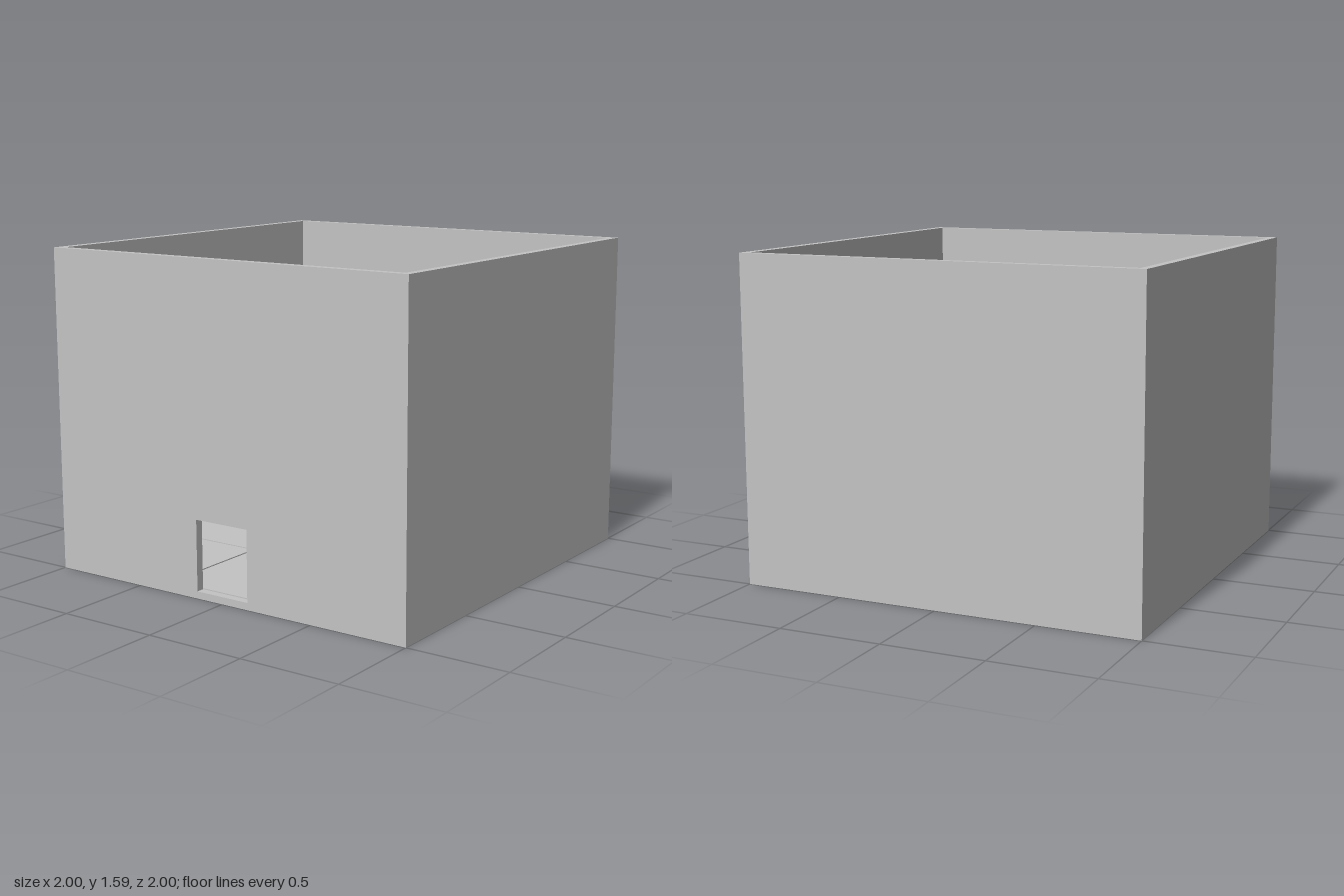
import * as THREE from 'three';

export function createModel() {
  const model = new THREE.Group();
  const grey = new THREE.MeshStandardMaterial({ color: 0xc4c4c4 });
  grey.name = 'plain grey';

  const H = 1.59, T = 0.04, IN = 1 - T;      // height, wall thickness, inner half width
  const BASE = 0.03, FLOOR = 0.04;           // groove bottom and tile top

  const add = (name, geometry, x, y, z) => {
    const mesh = new THREE.Mesh(geometry, grey);
    mesh.name = name;
    mesh.position.set(x, y, z);
    model.add(mesh);
  };

  // Front wall with a rectangular doorway
  const outline = new THREE.Shape([[-1, 0], [1, 0], [1, H], [-1, H]].map(p => new THREE.Vector2(...p)));
  const door = [[-0.147, 0.035], [-0.147, 0.38], [0.147, 0.38], [0.147, 0.035]];
  outline.holes.push(new THREE.Path(door.map(p => new THREE.Vector2(...p))));
  add('frontWall', new THREE.ExtrudeGeometry(outline, { depth: T, bevelEnabled: false }), 0, 0, IN);

  // Back and side walls
  add('backWall', new THREE.BoxGeometry(2, H, T), 0, H / 2, -1 + T / 2);
  for (const [name, s] of [['leftWall', 1], ['rightWall', -1]]) {
    add(name, new THREE.BoxGeometry(T, H, 2 * IN), s * (1 - T / 2), H / 2, 0);
  }

  // Floor slab with nine tiles separated by narrow grooves
  add('floorSlab', new THREE.BoxGeometry(2 * IN, BASE, 2 * IN), 0, BASE / 2, 0);
  const spans = [[-IN, -0.339], [-0.328, 0.328], [0.339, IN]];
  for (const [x0, x1] of spans) {
    for (const [z0, z1] of spans) {
      add('floorTile', new THREE.BoxGeometry(x1 - x0, FLOOR - BASE, z1 - z0),
        (x0 + x1) / 2, (BASE + FLOOR) / 2, (z0 + z1) / 2);
    }
  }
  return model;
}
